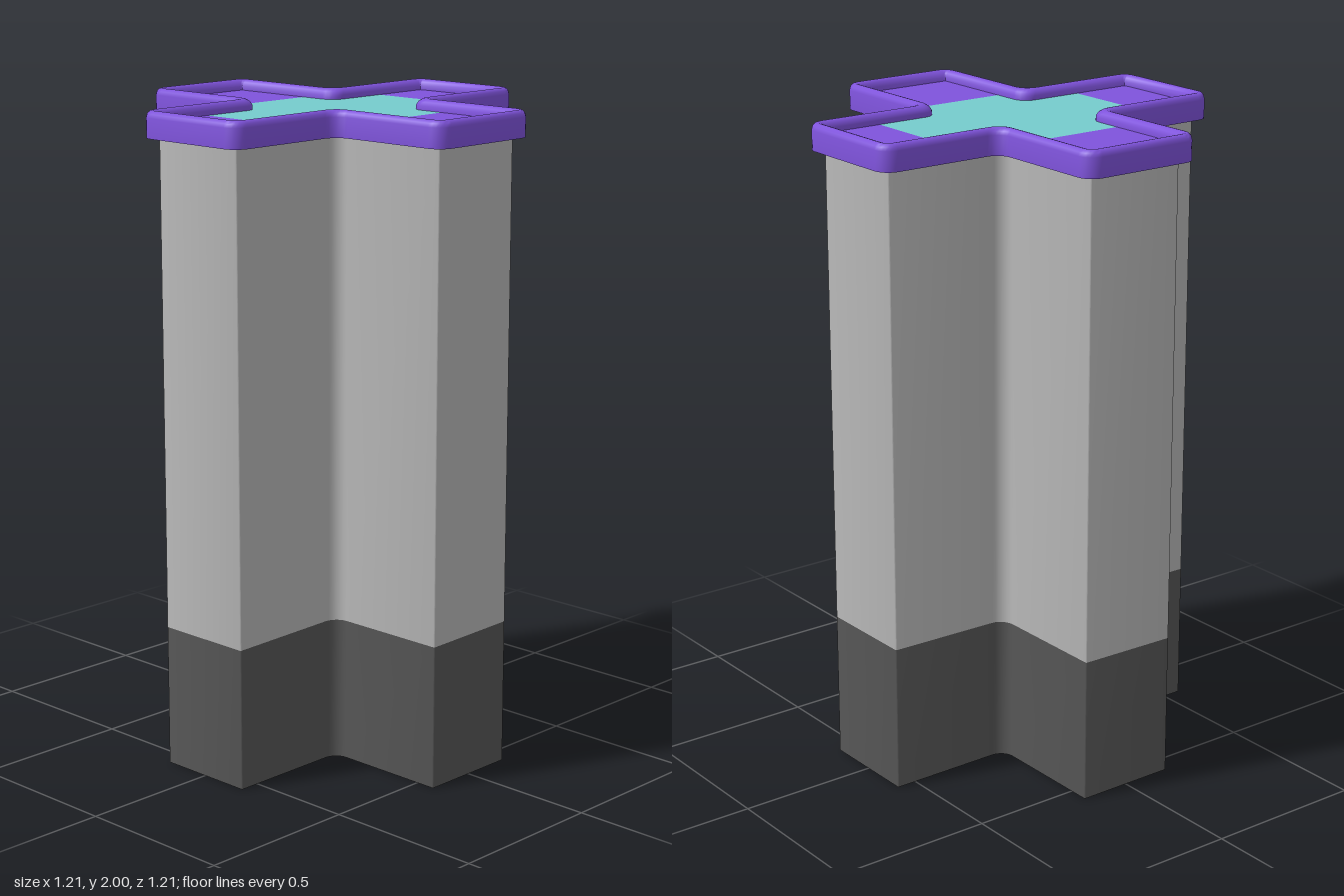
import * as THREE from 'three';
import { toCreasedNormals } from 'three/addons/utils/BufferGeometryUtils.js';

const ARM = 0.16;    // half width of an arm
const REACH = 0.563; // distance from the centre to an arm's end

const material = (name, color, side = THREE.FrontSide) => {
  const m = new THREE.MeshStandardMaterial({ color, side });
  m.name = name;
  return m;
};

// Cross outline in x and z, with rounded outer and inner corners
function crossLoop(hx, hz, a, outerR, innerR, steps = 6) {
  const corners = [
    [hx, -a], [hx, a], [a, a, 1], [a, hz], [-a, hz], [-a, a, 1],
    [-hx, a], [-hx, -a], [-a, -a, 1], [-a, -hz], [a, -hz], [a, -a, 1],
  ];
  const at = (i) => new THREE.Vector2(...corners[(i + 12) % 12].slice(0, 2));
  const loop = [];
  corners.forEach((corner, i) => {
    const r = corner[2] ? innerR : outerR;
    const p = at(i);
    const into = p.clone().sub(at(i - 1)).normalize();
    const out = at(i + 1).sub(p).normalize();
    const centre = p.clone().addScaledVector(into, -r).addScaledVector(out, r);
    for (let s = 0; s <= steps; s++) {
      const t = (s / steps) * Math.PI / 2;
      loop.push(centre.clone()
        .addScaledVector(out, -r * Math.cos(t))
        .addScaledVector(into, r * Math.sin(t)));
    }
  });
  return loop;
}

// Skin between successive cross rings, each given as [offset, height(x)]
function crossSkin(rings, cornerR) {
  const loops = rings.map(([offset, height]) =>
    crossLoop(REACH + offset, REACH + offset, ARM + offset, cornerR + offset, 0.045)
      .map((p) => [p.x, typeof height === 'function' ? height(p.x) : height, p.y]));
  const positions = [];
  for (let k = 0; k < loops.length - 1; k++) {
    const low = loops[k], high = loops[k + 1];
    low.forEach((a, i) => {
      const j = (i + 1) % low.length;
      positions.push(...a, ...high[i], ...low[j], ...low[j], ...high[i], ...high[j]);
    });
  }
  const geometry = new THREE.BufferGeometry();
  geometry.setAttribute('position', new THREE.Float32BufferAttribute(positions, 3));
  return toCreasedNormals(geometry, 0.9);
}

export function createModel() {
  const model = new THREE.Group();
  const grey = material('light grey', 0xb9b9b9, THREE.DoubleSide);
  const dark = material('dark grey', 0x575757, THREE.DoubleSide);
  const purple = material('purple', 0x7f53dc, THREE.DoubleSide);
  const teal = material('teal', 0x76cccd, THREE.DoubleSide);

  const add = (name, geometry, mat) => {
    const mesh = new THREE.Mesh(geometry, mat);
    mesh.name = name;
    model.add(mesh);
    return mesh;
  };

  // Hollow column, open below, with a slightly slanting colour seam
  const seam = (x) => 0.445 + 0.017 * x;
  add('lowerWall', crossSkin([[0, 0], [0, seam]], 0.003), dark);
  add('upperWall', crossSkin([[0, seam], [0, 1.965]], 0.003), grey);

  // Rounded rim around the top
  add('rim', crossSkin([
    [0, 1.92], [0.04, 1.92], [0.04, 1.98], [0.037, 1.991], [0.03, 1.998], [0.022, 2],
    [0.014, 1.998], [0.005, 1.991], [0, 1.98], [0, 1.965],
  ], 0.008), purple);

  // Teal centre of the recessed top
  const floorY = 1.967, tealX = 0.37, tealZ = 0.287;
  const outline = crossLoop(tealX, tealZ, ARM, 0, 0.045).map((p) => new THREE.Vector2(p.x, -p.y));
  const centre = new THREE.ShapeGeometry(new THREE.Shape(outline));
  centre.rotateX(-Math.PI / 2);
  add('topCentre', centre, teal).position.y = floorY;

  // Purple panels at the arm ends
  for (const s of [-1, 1]) {
    const side = new THREE.PlaneGeometry(REACH - tealX, 2 * ARM).rotateX(-Math.PI / 2);
    add(s > 0 ? 'leftPanel' : 'rightPanel', side, purple)
      .position.set(s * (REACH + tealX) / 2, floorY, 0);
    const end = new THREE.PlaneGeometry(2 * ARM, REACH - tealZ).rotateX(-Math.PI / 2);
    add(s > 0 ? 'frontPanel' : 'backPanel', end, purple)
      .position.set(0, floorY, s * (REACH + tealZ) / 2);
  }
  return model;
}
